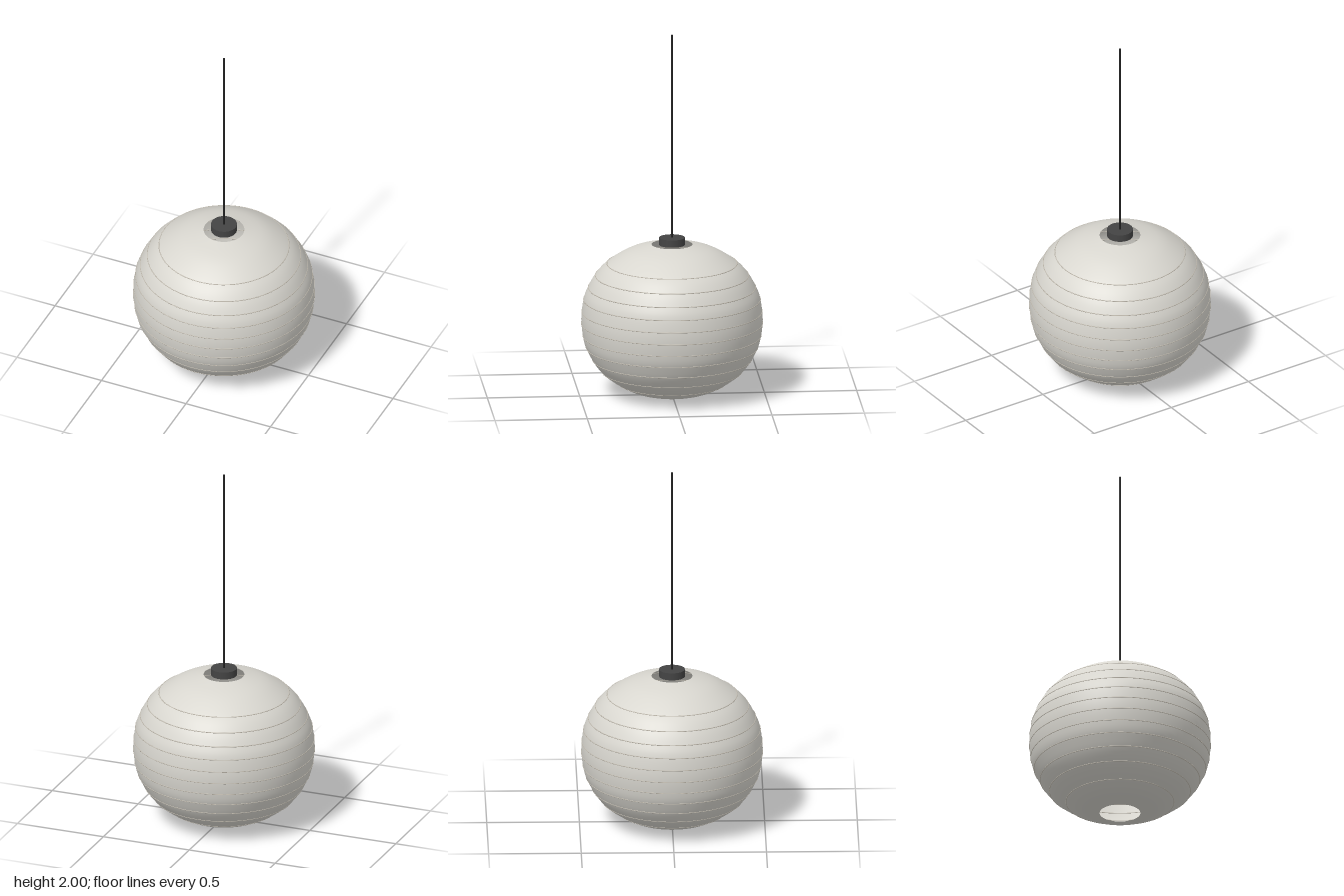
import * as THREE from 'three';

const H = 0.835;

// upper half of the lantern outline as [radius, height], mirrored for the lower half
const UPPER = [[0.477, 0.53], [0.452, 0.596], [0.414, 0.662], [0.353, 0.727], [0.235, 0.799], [0.11, H]];

function lanternProfile() {
  const upper = UPPER.map(([r, y]) => new THREE.Vector2(r, y));
  const lower = UPPER.map(([r, y]) => new THREE.Vector2(r, H - y)).reverse();
  return new THREE.SplineCurve([...lower, new THREE.Vector2(0.49, H / 2), ...upper]).getPoints(48);
}

// lantern radius at height y
function radiusAt(profile, y) {
  const i = profile.findIndex((p) => p.y > y);
  const a = profile[i - 1], b = profile[i];
  return THREE.MathUtils.mapLinear(y, a.y, b.y, a.x, b.x);
}

export function createModel() {
  const group = new THREE.Group();
  const mat = (name, color, side = THREE.FrontSide) => {
    const m = new THREE.MeshStandardMaterial({ color, side });
    m.name = name;
    return m;
  };
  const paper = mat('warmPaper', 0xd8d6cf, THREE.DoubleSide);
  const wire = mat('paleRib', 0xc4beb2);
  const metal = mat('darkMetal', 0x444444);
  const cable = mat('blackCable', 0x222222);

  const add = (name, geometry, material, y = 0) => {
    const mesh = new THREE.Mesh(geometry, material);
    mesh.name = name;
    mesh.position.y = y;
    group.add(mesh);
  };

  // paper shade, open at both ends
  const profile = lanternProfile();
  add('shade', new THREE.LatheGeometry(profile, 64), paper);

  // thin ribs lying on the paper
  for (let i = 1; i <= 11; i++) {
    const y = 0.0662 * i;
    const rib = new THREE.TorusGeometry(radiusAt(profile, y), 0.0025, 6, 64);
    rib.rotateX(Math.PI / 2);
    add('rib' + i, rib, wire, y);
  }

  // cap in the top opening and the hanging cord
  add('cap', new THREE.CylinderGeometry(0.07, 0.07, 0.04, 32), metal, 0.853);
  add('cord', new THREE.CylinderGeometry(0.0055, 0.0055, 1.13, 10), cable, 1.435);

  return group;
}
